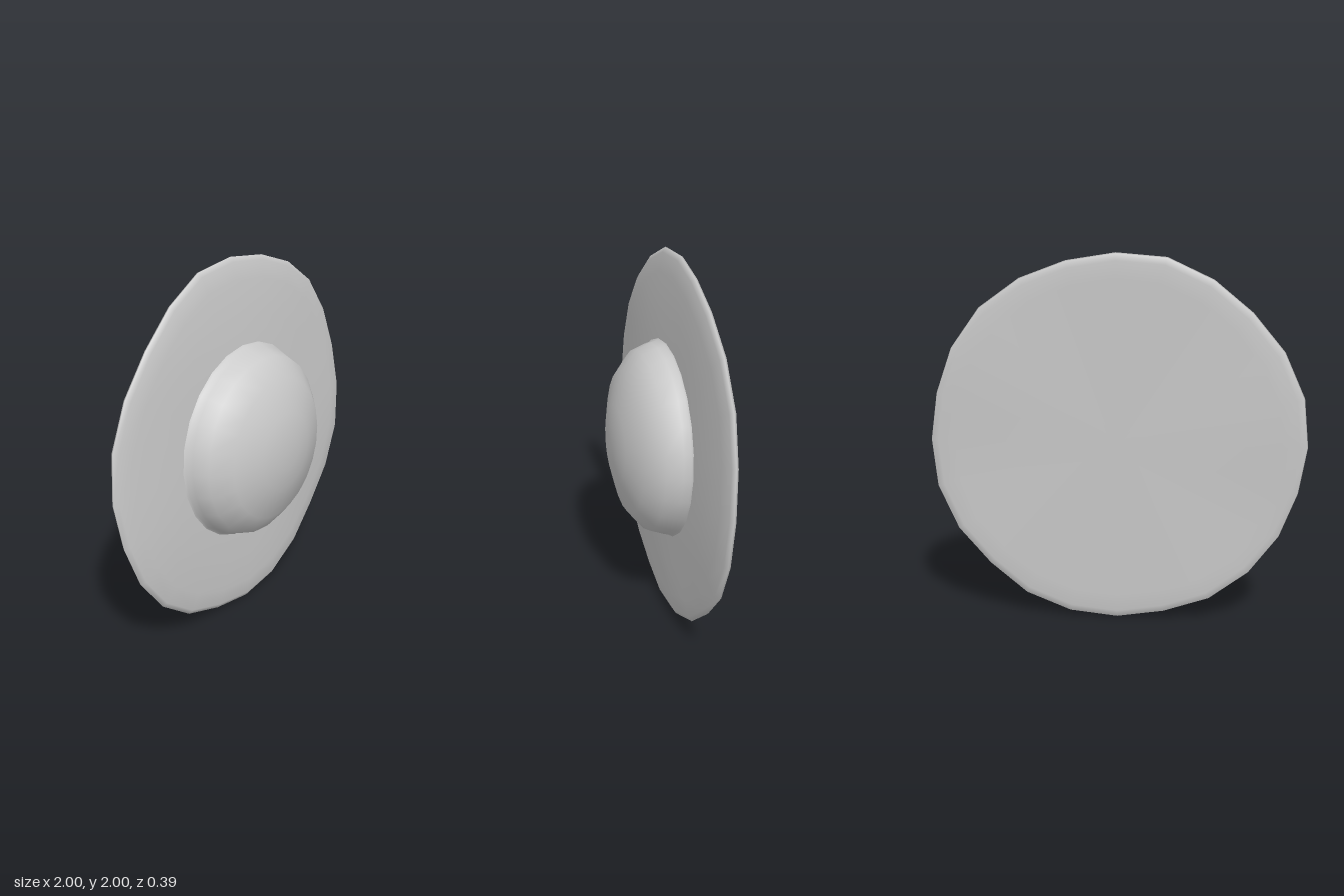
import * as THREE from 'three';
import { mergeVertices } from 'three/addons/utils/BufferGeometryUtils.js';

const SEGMENTS = 24;
const TILT = 0.0385;

// Rim radius at each 15 degree step, starting at +x and going up
const RIM = [0.995, 0.988, 1, 1.008, 1, 0.992, 1, 1.013, 1, 0.99, 1, 1.008,
  1, 0.992, 1, 1.003, 1, 0.985, 0.995, 1.002, 1, 0.985, 1, 1.006];

// Revolves [radius, z] points about the z axis, then leans the result back
function revolve(profile, warp) {
  const points = profile.map(([r, z]) => new THREE.Vector2(r, z));
  let geo = new THREE.LatheGeometry(points, SEGMENTS);
  geo.rotateX(Math.PI / 2);
  const pos = geo.attributes.position;
  const v = new THREE.Vector3();
  for (let i = 0; i < pos.count; i++) {
    v.fromBufferAttribute(pos, i);
    if (warp) warp(v);
    v.z -= TILT * v.y;
    pos.setXYZ(i, v.x, v.y + 1, v.z);
  }
  // Weld the seam and the poles so the shading stays smooth
  geo.deleteAttribute('uv');
  geo.deleteAttribute('normal');
  geo = mergeVertices(geo, 1e-4);
  geo.computeVertexNormals();
  return geo;
}

// Uneven outline and a gentle ripple that grow towards the rim
function ripple(v) {
  const r = Math.hypot(v.x, v.y);
  if (r < 0.3) return;
  const angle = (Math.atan2(v.y, v.x) + Math.PI * 2) % (Math.PI * 2);
  const step = Math.round(angle / (Math.PI * 2) * SEGMENTS) % SEGMENTS;
  const weight = THREE.MathUtils.smoothstep(r, 0.5, 1);
  const scale = 1 + (RIM[step] - 1) * weight;
  v.x *= scale;
  v.y *= scale;
  v.z += 0.006 * weight * Math.sin(angle * 5 + 2.4);
}

export function createModel() {
  const group = new THREE.Group();
  const material = new THREE.MeshStandardMaterial({ color: 0xcccccc });
  const add = (name, geometry) => {
    const mesh = new THREE.Mesh(geometry, material);
    mesh.name = name;
    group.add(mesh);
  };

  // Thin disc with a rounded rim
  add('disc', revolve([
    [0, -0.155], [0.87, -0.157], [0.96, -0.154], [0.995, -0.147],
    [1, -0.135], [0.975, -0.119], [0.88, -0.104], [0.7, -0.092],
    [0.54, -0.084], [0.4, -0.08], [0, -0.08],
  ], ripple));

  // Flattened dome in the middle, flaring slightly where it meets the disc
  add('dome', revolve([
    [0.545, -0.09], [0.527, -0.076], [0.518, -0.04], [0.488, 0.04],
    [0.385, 0.125], [0.21, 0.178], [0.1, 0.193], [0, 0.197],
  ].map(([r, z]) => [r, z])));

  return group;
}
